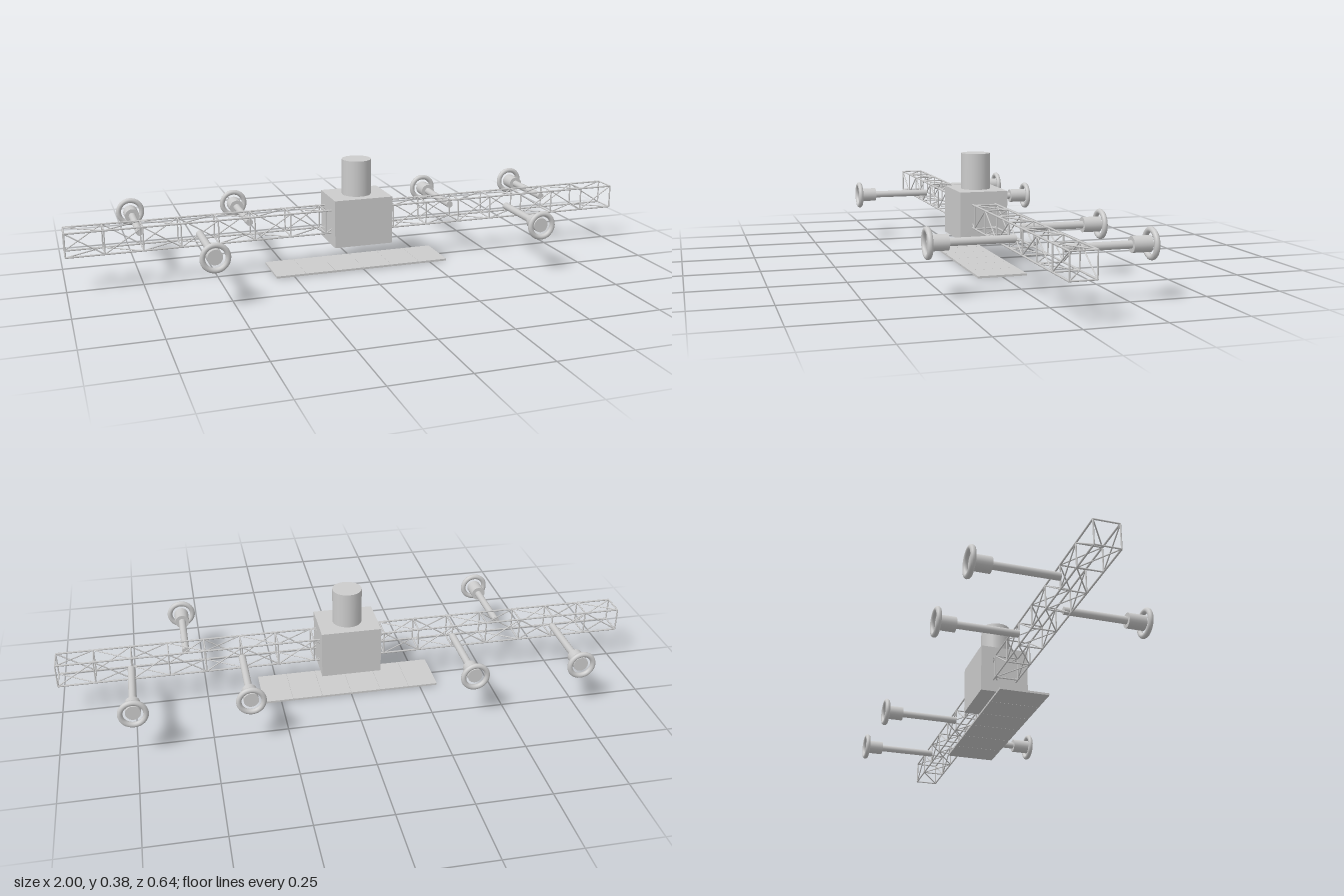
import * as THREE from 'three';

const material = new THREE.MeshStandardMaterial({ color: 0xcccccc });
const MID = 0.171;   // height of the truss axis
const HALF = 0.04;   // half width of the truss between chord centres
const END = 0.997;   // truss end frame centre
const BAYS = 16;

function add(parent, name, geometry, x = 0, y = 0, z = 0) {
  const mesh = new THREE.Mesh(geometry, material);
  mesh.name = name;
  mesh.position.set(x, y, z);
  parent.add(mesh);
  return mesh;
}

// Round bar between two points
function bar(parent, name, a, b, radius) {
  const dir = b.clone().sub(a);
  const mesh = add(parent, name, new THREE.CylinderGeometry(radius, radius, dir.length(), 6));
  mesh.position.copy(a).add(b).multiplyScalar(0.5);
  mesh.quaternion.setFromUnitVectors(new THREE.Vector3(0, 1, 0), dir.normalize());
}

function makeTruss() {
  const truss = new THREE.Group();
  truss.name = 'truss';
  truss.position.y = MID;
  const corners = [[-1, -1], [1, -1], [1, 1], [-1, 1]];
  const point = (i, c) => new THREE.Vector3(
    -END + (2 * END * i) / BAYS, corners[c % 4][0] * HALF, corners[c % 4][1] * HALF);

  for (let c = 0; c < 4; c++) {
    bar(truss, 'chord', point(0, c), point(BAYS, c), 0.0032);
    for (let i = 0; i <= BAYS; i++) {
      bar(truss, 'frameStrut', point(i, c), point(i, c + 1), 0.0026);
      // Diagonals zigzag, running opposite ways on opposite faces
      if (i < BAYS) {
        const flip = (i + (c > 1 ? 0 : 1)) % 2;
        // going round the section, facing sides already run in reverse
        const up = c > 1 ? !flip : flip;
        const from = up ? c : c + 1;
        const to = up ? c + 1 : c;
        bar(truss, 'diagonal', point(i, from), point(i + 1, to), 0.0022);
      }
    }
  }
  return truss;
}

// Boom with a collar and a docking ring, pointing along +z
function makeDockingArm(x, side) {
  const arm = new THREE.Group();
  arm.name = 'dockingArm';
  arm.position.set(x, MID, 0);
  if (side < 0) arm.rotation.y = Math.PI;
  const tube = (name, radius, z0, z1, sides) =>
    add(arm, name, new THREE.CylinderGeometry(radius, radius, z1 - z0, sides)
      .rotateX(Math.PI / 2), 0, 0, (z0 + z1) / 2);
  tube('boom', 0.0125, 0.04, 0.252, 12);
  tube('collar', 0.025, 0.25, 0.31, 20);
  add(arm, 'dockingRing', new THREE.TorusGeometry(0.041, 0.009, 12, 32), 0, 0, 0.313);
  return arm;
}

export function createModel() {
  const model = new THREE.Group();
  model.name = 'station';
  model.add(makeTruss());

  // Central hub and tower
  add(model, 'hub', new THREE.BoxGeometry(0.208, 0.167, 0.167), 0, MID, 0);
  add(model, 'tower', new THREE.CylinderGeometry(0.051, 0.051, 0.134, 24), 0, 0.312, 0);

  // Row of flat panels below the hub
  const panels = new THREE.Group();
  panels.name = 'panelRow';
  for (let i = 0; i < 6; i++) {
    add(panels, 'panel', new THREE.BoxGeometry(0.1035, 0.007, 0.167), (i - 2.5) * 0.1043, 0.0035, 0);
  }
  model.add(panels);

  // Docking arms: two at the back and one in front on each half
  for (const s of [-1, 1]) {
    for (const x of [0.375, 0.75]) model.add(makeDockingArm(s * x, -1));
    model.add(makeDockingArm(s * 0.5625, 1));
  }
  return model;
}
